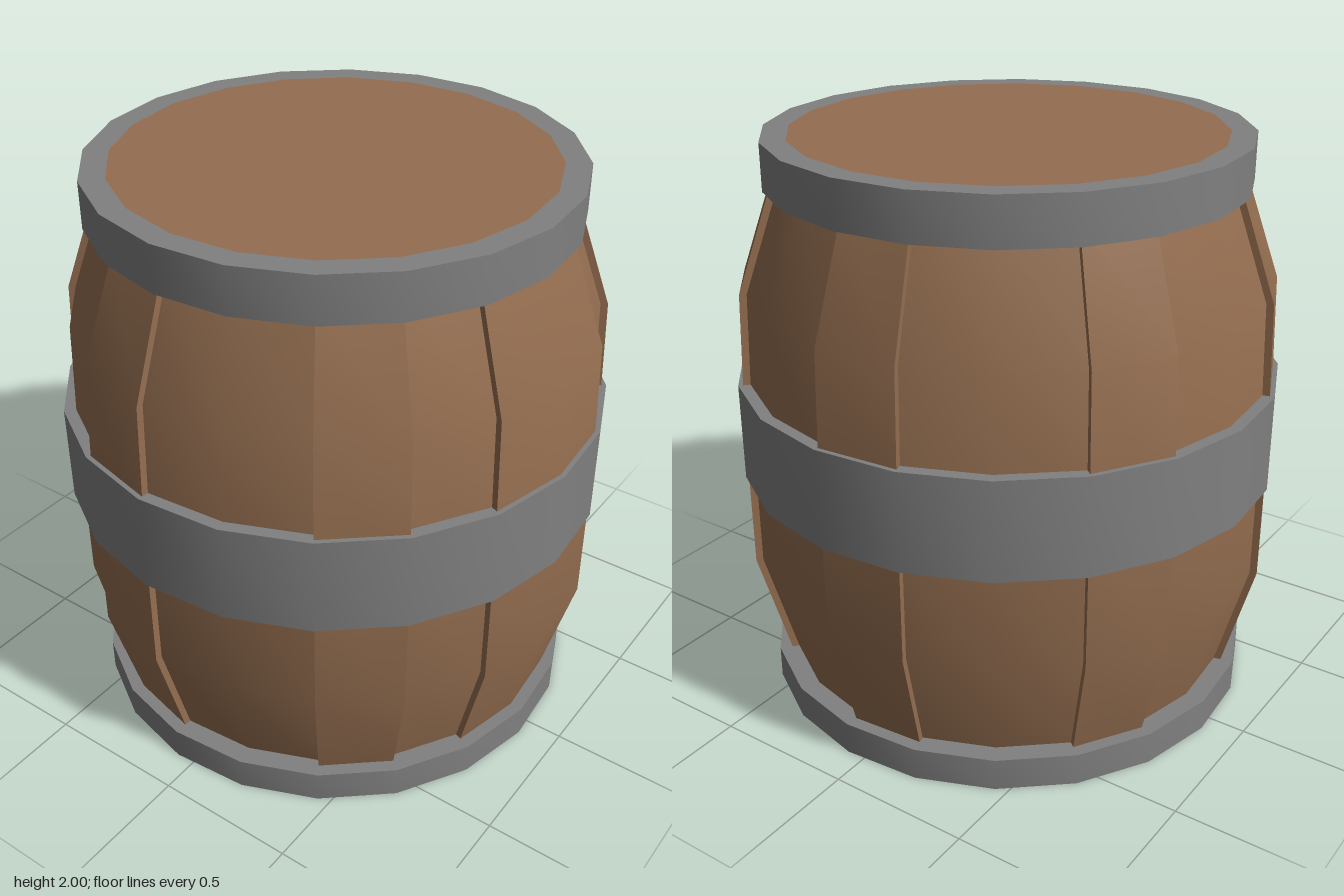
import * as THREE from 'three';
import { mergeGeometries, toCreasedNormals } from 'three/addons/utils/BufferGeometryUtils.js';

const SIDES = 20;
const STEP = (Math.PI * 2) / SIDES;
const START = -THREE.MathUtils.degToRad(4.4); // the whole barrel is turned slightly
const CREASE = 0.6;

const wood = new THREE.MeshStandardMaterial({ color: 0x946e50, side: THREE.DoubleSide });
const iron = new THREE.MeshStandardMaterial({ color: 0x808080 });

function addMesh(parent, name, geometry, material) {
  const mesh = new THREE.Mesh(toCreasedNormals(geometry, CREASE), material);
  mesh.name = name;
  parent.add(mesh);
}

// Closed ring of rectangular section
function hoop(inner, outer, y0, y1) {
  const section = [[inner, y0], [outer, y0], [outer, y1], [inner, y1], [inner, y0]];
  return new THREE.LatheGeometry(section.map(([r, y]) => new THREE.Vector2(r, y)), SIDES, START);
}

// Bulging board covering `span` sides, with its two side walls
function stave(first, span, inset) {
  const outer = [[0.808, 0.04], [0.933, 0.5], [0.933, 1.0], [0.915, 1.5], [0.775, 1.9]]
    .map(([r, y]) => new THREE.Vector2(r - inset, y));
  const inner = outer.map((p) => new THREE.Vector2(p.x - 0.08, p.y)).reverse();
  const section = [...outer, ...inner];
  const phi = START + first * STEP;
  const parts = [new THREE.LatheGeometry([...section, section[0]], span, phi, span * STEP)];
  for (const angle of [phi, phi + span * STEP]) {
    parts.push(new THREE.ShapeGeometry(new THREE.Shape(section)).rotateY(angle - Math.PI / 2));
  }
  return mergeGeometries(parts);
}

// Flat round end board
function lid(y0, y1) {
  return new THREE.CylinderGeometry(0.73, 0.73, y1 - y0, SIDES, 1, false, START)
    .translate(0, (y0 + y1) / 2, 0);
}

export function createModel() {
  const barrel = new THREE.Group();
  barrel.name = 'barrel';

  // Staves of one or two sides, alternately recessed and proud
  const staves = new THREE.Group();
  staves.name = 'staves';
  barrel.add(staves);
  let first = 0;
  [2, 1, 1, 2, 1, 1, 2, 1, 2, 1, 2, 1, 2, 1].forEach((span, i) => {
    addMesh(staves, 'stave', stave(first, span, i % 2 === 0 ? 0.025 : 0), wood);
    first += span;
  });

  // Iron hoops
  addMesh(barrel, 'bottomHoop', hoop(0.73, 0.873, 0, 0.115), iron);
  addMesh(barrel, 'middleHoop', hoop(0.86, 0.943, 0.835, 1.18), iron);
  addMesh(barrel, 'topHoop', hoop(0.73, 0.815, 1.84, 2), iron);

  // End boards
  addMesh(barrel, 'bottomLid', lid(0, 0.115), wood);
  addMesh(barrel, 'topLid', lid(1.84, 2), wood);

  return barrel;
}
